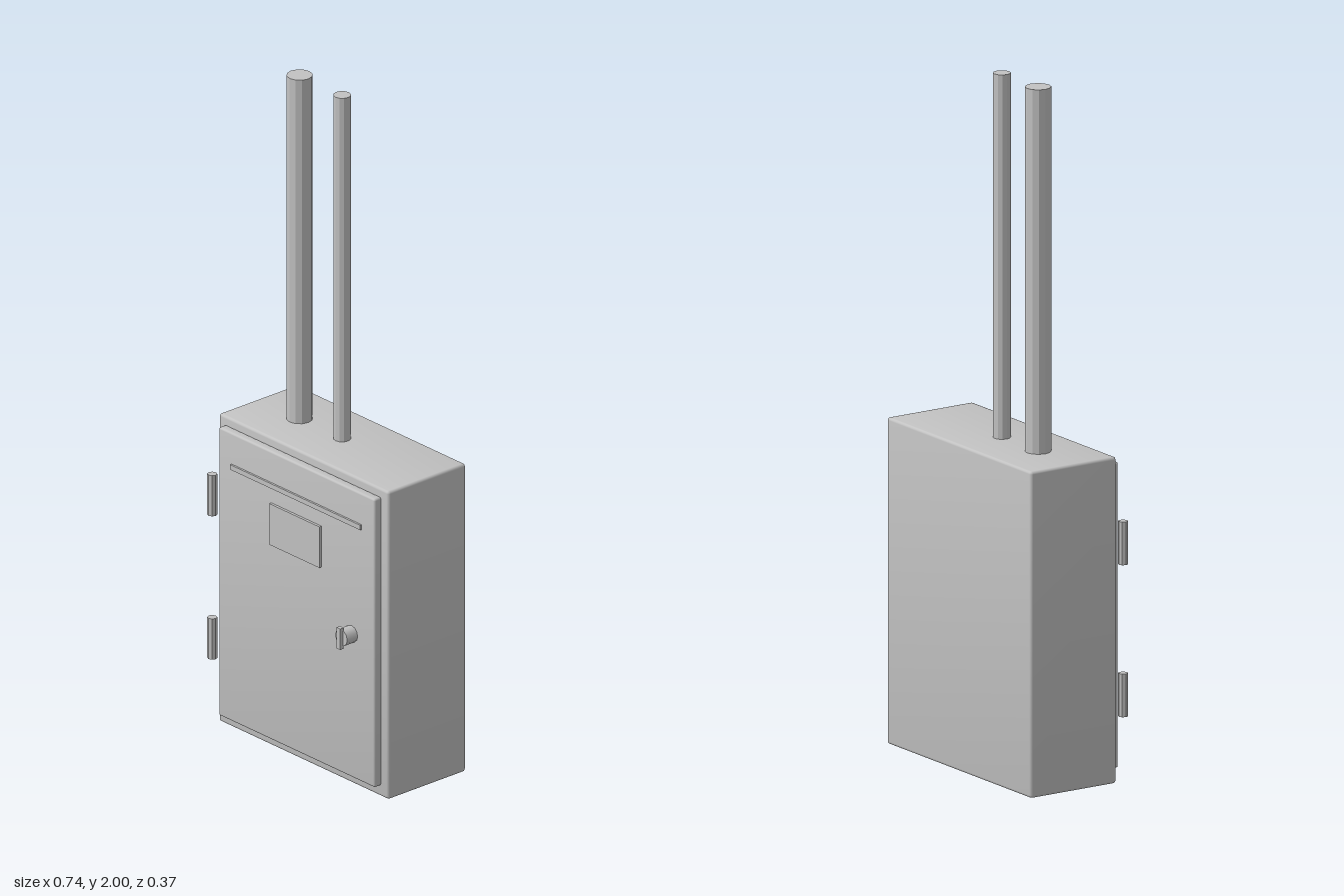
import * as THREE from 'three';
import { RoundedBoxGeometry } from 'three/addons/geometries/RoundedBoxGeometry.js';

const metal = new THREE.MeshStandardMaterial({ color: 0xc2c2c2 });
metal.name = 'grey metal';

// Box given by its min and max corners
function placeBox(name, geometry, min, max) {
  const mesh = new THREE.Mesh(geometry, metal);
  mesh.name = name;
  mesh.position.set(...min.map((v, i) => (v + max[i]) / 2));
  return mesh;
}

const sizes = (min, max) => max.map((v, i) => v - min[i]);

function plainBox(name, min, max) {
  return placeBox(name, new THREE.BoxGeometry(...sizes(min, max)), min, max);
}

// Bevelled box whose normals lean softly outwards at the corners
function softBox(name, min, max, radius) {
  const g = new RoundedBoxGeometry(...sizes(min, max), 2, radius);
  const p = g.attributes.position, n = g.attributes.normal;
  const v = new THREE.Vector3();
  for (let i = 0; i < p.count; i++) {
    v.fromBufferAttribute(n, i);
    v.x += 0.12 * Math.sign(p.getX(i));
    v.y += 0.12 * Math.sign(p.getY(i));
    v.z += 0.12 * Math.sign(p.getZ(i));
    v.normalize();
    n.setXYZ(i, v.x, v.y, v.z);
  }
  return placeBox(name, g, min, max);
}

// Upright faceted cylinder from y0 to y1
function post(name, radius, sides, x, z, y0, y1) {
  const g = new THREE.CylinderGeometry(radius, radius, y1 - y0, sides).toNonIndexed();
  g.computeVertexNormals();
  const mesh = new THREE.Mesh(g, metal);
  mesh.name = name;
  mesh.position.set(x, (y0 + y1) / 2, z);
  return mesh;
}

export function createModel() {
  const model = new THREE.Group();
  model.name = 'electricalCabinet';

  // Cabinet and door
  model.add(softBox('cabinet', [-0.345, 0, -0.183], [0.367, 0.945, 0.107], 0.008));
  model.add(softBox('door', [-0.317, 0.035, 0.106], [0.338, 0.92, 0.133], 0.006));

  // Raised details on the door
  model.add(plainBox('drip strip', [-0.262, 0.81, 0.13], [0.284, 0.825, 0.139]));
  model.add(plainBox('label plate', [-0.095, 0.637, 0.132], [0.115, 0.763, 0.141]));

  // Hinge pins
  for (const y of [0.195, 0.635]) {
    model.add(post('hinge', 0.014, 8, -0.356, 0.122, y, y + 0.125));
  }

  // Door lock
  const lock = new THREE.Group();
  lock.name = 'lock';
  const barrel = new THREE.Mesh(new THREE.CylinderGeometry(0.025, 0.025, 0.042, 12), metal);
  barrel.name = 'lockBarrel';
  barrel.rotation.x = Math.PI / 2;
  barrel.position.set(0.242, 0.476, 0.151);
  lock.add(barrel, plainBox('lockHandle', [0.234, 0.444, 0.17], [0.25, 0.508, 0.183]));
  model.add(lock);

  // Conduits rising from the roof
  model.add(post('wide conduit', 0.037, 12, -0.169, -0.038, 0.93, 2));
  model.add(post('narrow conduit', 0.025, 12, 0.01, -0.038, 0.93, 2));

  return model;
}
